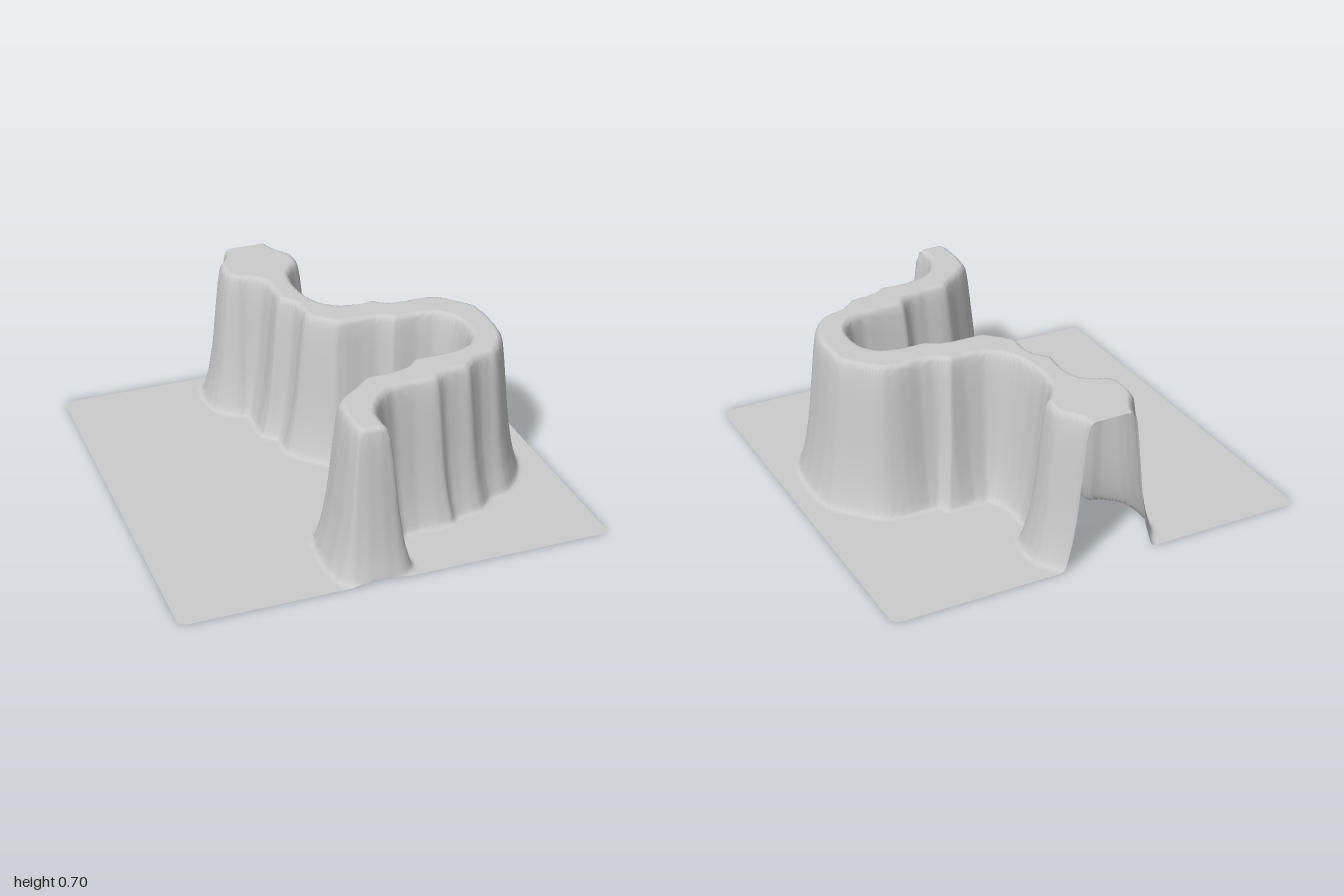
import * as THREE from 'three';

const HEIGHT = 0.705;
const CELLS = 180;
const CORNER = 0.04;

// Foot of the ridge in plan (x, z), one loop running past the open back edge
const FOOT = [
  [-0.23, -1.25], [-0.24, -1], [-0.31, -0.88], [-0.31, -0.67], [-0.23, -0.58], [-0.17, -0.55],
  [-0.17, -0.34], [-0.11, -0.28], [-0.11, -0.15], [-0.01, -0.02], [0.07, 0.04], [0.27, 0.05],
  [0.33, 0.09], [0.52, 0.1], [0.54, 0.17], [0.52, 0.25], [0.4, 0.27], [0.23, 0.28], [0.19, 0.34],
  [0, 0.36], [-0.1, 0.44], [-0.2, 0.52], [-0.26, 0.61], [-0.26, 0.94], [-0.21, 0.99],
  [0.01, 0.99], [0.07, 0.94], [0.07, 0.79], [0.14, 0.7], [0.37, 0.69], [0.41, 0.65],
  [0.54, 0.63], [0.62, 0.56], [0.72, 0.53], [0.82, 0.42], [0.88, 0.28], [0.88, -0.04],
  [0.8, -0.15], [0.7, -0.25], [0.58, -0.28], [0.44, -0.28], [0.41, -0.33], [0.22, -0.33],
  [0.175, -0.4], [0.17, -0.6], [0.25, -0.7], [0.26, -0.88], [0.19, -1], [0.18, -1.25],
];

// Wall section: distance inside the foot, height
const WALL = [
  [-0.02, 0], [0, 0.01], [0.03, 0.12], [0.055, 0.27], [0.07, 0.42],
  [0.09, 0.61], [0.1, 0.68], [0.12, HEIGHT],
];

function wallHeight(d) {
  if (d <= WALL[0][0]) return 0;
  for (let i = 1; i < WALL.length; i++) {
    const [d0, h0] = WALL[i - 1], [d1, h1] = WALL[i];
    if (d < d1) return h0 + (h1 - h0) * (d - d0) / (d1 - d0);
  }
  return HEIGHT;
}

// Signed distance to a closed outline, positive inside
function distanceInside(x, z, outline) {
  let best = Infinity, inside = false;
  for (let i = 0, j = outline.length - 1; i < outline.length; j = i++) {
    const a = outline[j], b = outline[i];
    const ex = b.x - a.x, ez = b.z - a.z;
    const t = THREE.MathUtils.clamp(
      ((x - a.x) * ex + (z - a.z) * ez) / (ex * ex + ez * ez || 1), 0, 1);
    best = Math.min(best, Math.hypot(x - a.x - t * ex, z - a.z - t * ez));
    if ((a.z > z) !== (b.z > z) && x < a.x + ex * (z - a.z) / ez) inside = !inside;
  }
  return inside ? best : -best;
}

// Pull the square corners of the sheet in to a small radius
function roundCorner(x, z) {
  const c = 1 - CORNER, u = Math.abs(x) - c, v = Math.abs(z) - c;
  if (u <= 0 || v <= 0) return [x, z];
  const k = Math.max(u, v) / Math.hypot(u, v);
  return [Math.sign(x) * (c + u * k), Math.sign(z) * (c + v * k)];
}

export function createModel() {
  const model = new THREE.Group();
  model.name = 'terrain';

  const outline = new THREE.CatmullRomCurve3(
    FOOT.map(([x, z]) => new THREE.Vector3(x, 0, z)), true, 'centripetal',
  ).getPoints(FOOT.length * 3).slice(0, -1);

  // One sheet: flat ground raised into a hollow winding ridge
  const sheet = new THREE.PlaneGeometry(2, 2, CELLS, CELLS).rotateX(-Math.PI / 2);
  const pos = sheet.attributes.position;
  for (let i = 0; i < pos.count; i++) {
    const [x, z] = roundCorner(pos.getX(i), pos.getZ(i));
    pos.setXYZ(i, x, wallHeight(distanceInside(x, z, outline)), z);
  }
  sheet.computeVertexNormals();

  const material = new THREE.MeshStandardMaterial({ color: 0xcccccc, side: THREE.DoubleSide });
  const ground = new THREE.Mesh(sheet, material);
  ground.name = 'groundWithWindingRidge';
  model.add(ground);
  return model;
}
